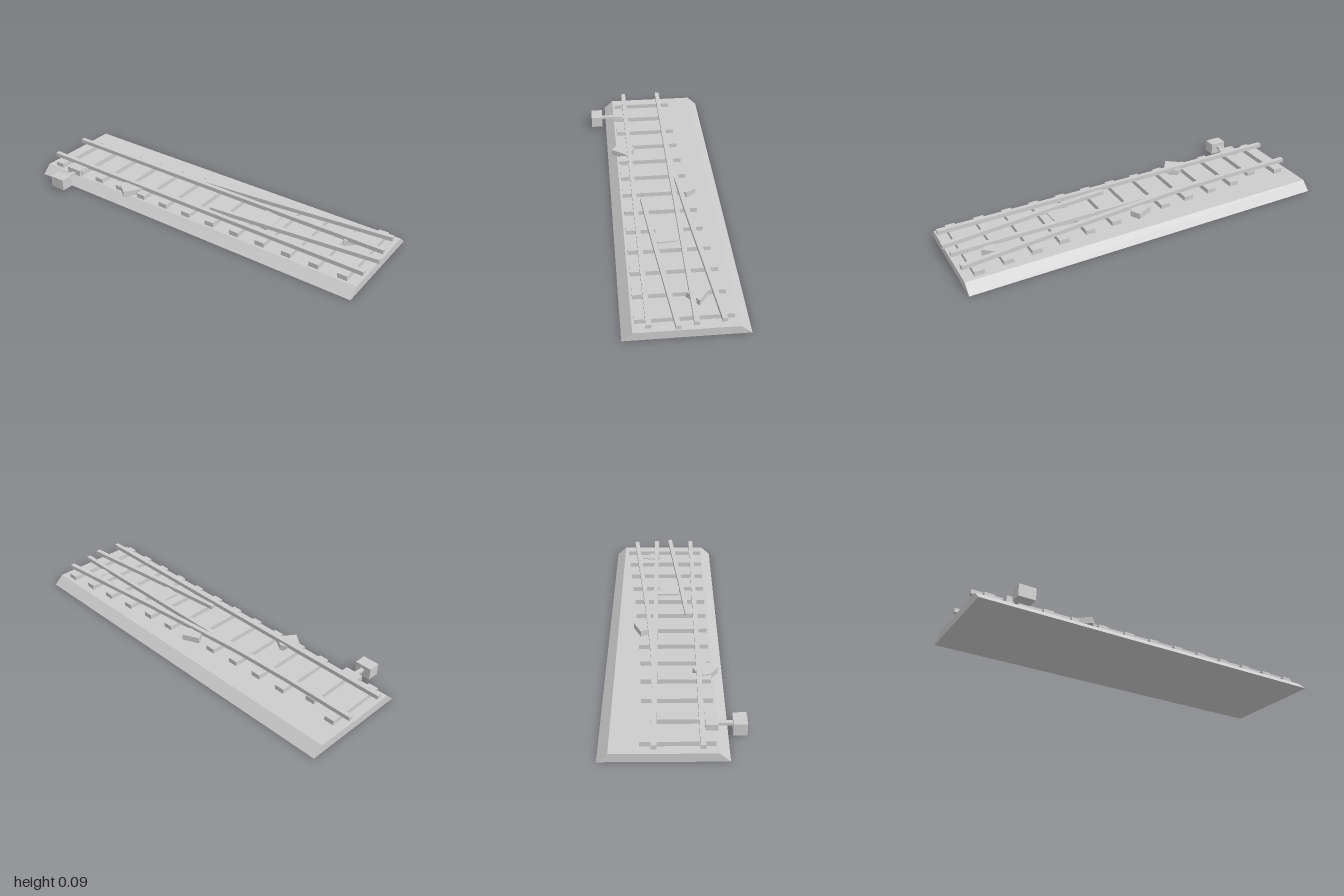
import * as THREE from 'three';

const grey = new THREE.MeshStandardMaterial({ color: 0xcccccc });
grey.name = 'plain grey';

export function createModel() {
  const group = new THREE.Group();
  group.name = 'railwaySwitch';

  const add = (name, geometry) => {
    const mesh = new THREE.Mesh(geometry, grey);
    mesh.name = name;
    group.add(mesh);
    return mesh;
  };

  // box given by its limits on each axis
  const block = (name, x0, x1, y0, y1, z0, z1) => {
    const mesh = add(name, new THREE.BoxGeometry(x1 - x0, y1 - y0, z1 - z0));
    mesh.position.set((x0 + x1) / 2, (y0 + y1) / 2, (z0 + z1) / 2);
  };

  // upright prism over an outline of [x, z] points
  const slab = (name, outline, y0, y1) => {
    const shape = new THREE.Shape(outline.map(([x, z]) => new THREE.Vector2(x, -z)));
    const geometry = new THREE.ExtrudeGeometry(shape, { depth: y1 - y0, bevelEnabled: false });
    geometry.rotateX(-Math.PI / 2);
    geometry.translate(0, y0, 0);
    add(name, geometry);
  };

  // rail of constant width following [x, z] points
  const rail = (name, path, steps) => {
    const curve = new THREE.CatmullRomCurve3(path.map(([x, z]) => new THREE.Vector3(x, 0, z)));
    const left = [], right = [];
    for (let i = 0; i <= steps; i++) {
      const p = curve.getPoint(i / steps);
      const t = curve.getTangent(i / steps);
      const w = 0.012;
      left.push([p.x + t.z * w, p.z - t.x * w]);
      right.unshift([p.x - t.z * w, p.z + t.x * w]);
    }
    slab(name, [...left, ...right], 0.071, 0.093);
  };

  // ballast bed with sloping long sides
  const bed = new THREE.Shape([[-0.25, 0], [0.334, 0], [0.283, 0.046], [-0.2, 0.046]]
    .map(([x, y]) => new THREE.Vector2(x, y)));
  const bedGeometry = new THREE.ExtrudeGeometry(bed, { depth: 1.98, bevelEnabled: false });
  bedGeometry.rotateY(Math.PI / 2);
  bedGeometry.translate(-1, 0, 0);
  add('ballast', bedGeometry);

  // sleepers, growing longer toward the diverging end
  const backEnds = [0.147, 0.1, 0.147, 0.152, 0.158, 0.168, 0.178, 0.19, 0.2, 0.217, 0.232, 0.245, 0.261];
  backEnds.forEach((end, i) => {
    const x = -0.925 + 0.152 * i;
    block('sleeper', x - 0.026, x + 0.026, 0.044, 0.071, -end, 0.188);
  });

  // rails
  rail('frontRail', [[-1, 0.129], [0.98, 0.129]], 1);
  rail('backRail', [[-1, -0.084], [0.98, -0.084]], 1);
  rail('outerCurvedRail', [[-0.62, -0.084], [-0.3, -0.094], [0, -0.117], [0.3, -0.143], [0.6, -0.173], [0.97, -0.21]], 14);
  rail('innerCurvedRail', [[0.08, 0.088], [0.4, 0.059], [0.7, 0.029], [0.997, -0.001]], 8);

  // angular stones lying among the sleepers
  const stones = [
    [[-0.46, 0.185], [-0.47, 0.13], [-0.405, 0.1], [-0.34, 0.142], [-0.402, 0.228]],
    [[-0.075, -0.162], [0.01, -0.2], [0.038, -0.15], [0.02, -0.12], [-0.05, -0.12]],
    [[0.32, -0.07], [0.42, -0.06], [0.428, 0.035], [0.4, 0.05], [0.32, 0.04]],
    [[0.77, -0.168], [0.838, -0.115], [0.78, -0.058], [0.765, -0.08]],
  ];
  stones.forEach((outline) => slab('stone', outline, 0.044, 0.078));

  // switch mechanism at the front
  block('switchMount', -0.847, -0.753, 0.044, 0.078, 0.145, 0.202);
  block('switchRod', -0.81, -0.79, 0.045, 0.059, 0.2, 0.275);
  block('switchBox', -0.845, -0.757, 0.014, 0.077, 0.27, 0.334);

  return group;
}
